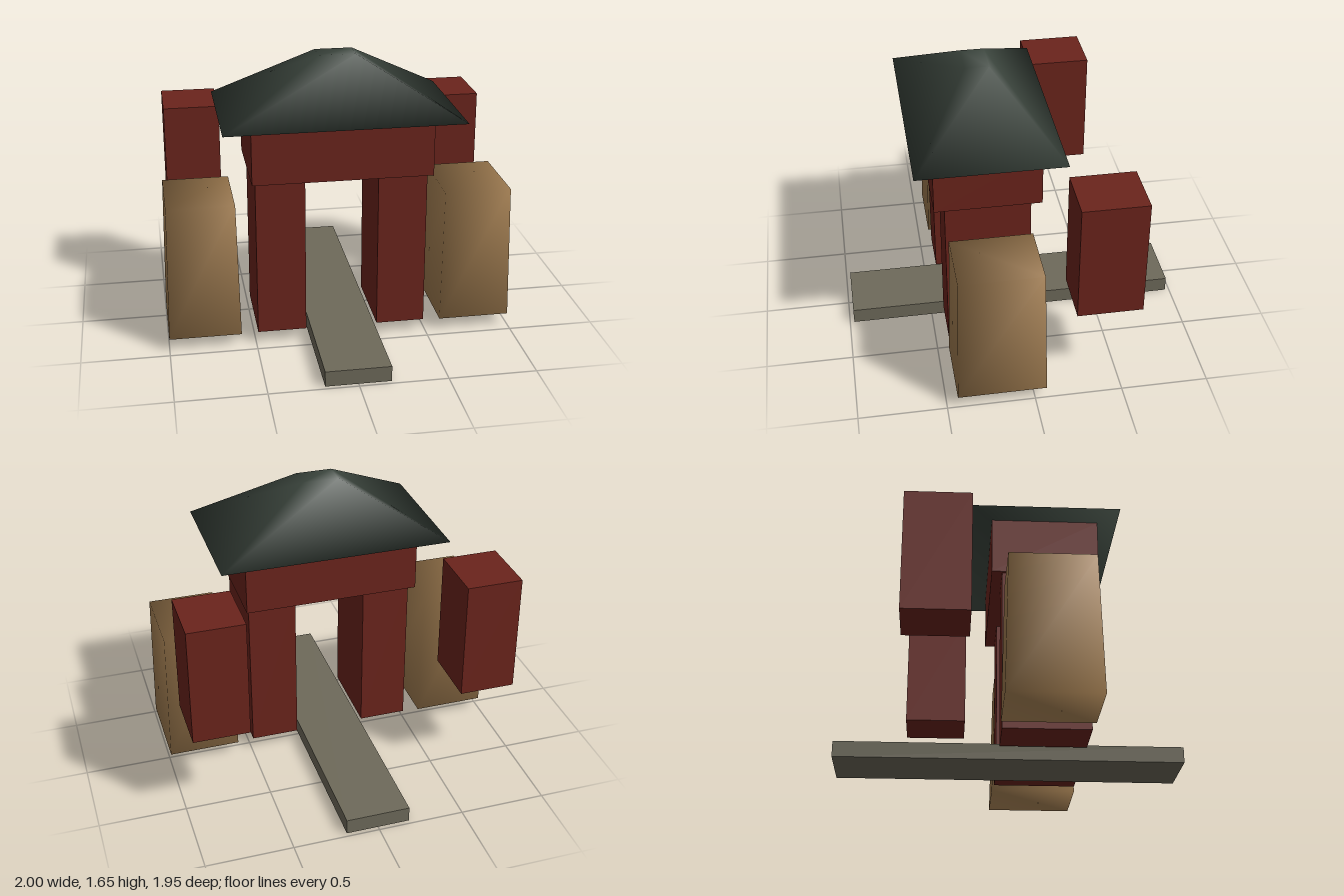
import * as THREE from 'three';
import { mergeVertices } from 'three/addons/utils/BufferGeometryUtils.js';

const mat = (color) => new THREE.MeshStandardMaterial({ color });

export function createModel() {
  const gate = new THREE.Group();
  gate.name = 'gatehouse';
  const red = mat(0x6b241c), tan = mat(0xa07c50), slate = mat(0x3c463e), stone = mat(0x6e6a5a);

  const add = (name, geometry, material, x, y, z) => {
    const mesh = new THREE.Mesh(geometry, material);
    mesh.name = name;
    mesh.position.set(x, y, z);
    gate.add(mesh);
  };

  // Block given by its centre in x and z and its bottom height
  const block = (name, material, w, h, d, x, y, z) =>
    add(name, new THREE.BoxGeometry(w, h, d), material, x, y + h / 2, z);

  // Tapered block with shared corners, so its shading is smooth
  const tapered = (name, material, w, h, d, topW, topD, x, y, z) => {
    let g = new THREE.BoxGeometry(w, h, d);
    const p = g.attributes.position;
    for (let i = 0; i < p.count; i++) {
      if (p.getY(i) > 0) {
        p.setX(i, Math.sign(p.getX(i)) * topW / 2);
        p.setZ(i, Math.sign(p.getZ(i)) * topD / 2);
      }
    }
    g.deleteAttribute('normal');
    g.deleteAttribute('uv');
    g = mergeVertices(g);
    g.computeVertexNormals();
    add(name, g, material, x, y + h / 2, z);
  };

  // Path, lintel and hipped roof on the centre line
  block('path', stone, 0.37, 0.09, 1.95, 0, 0, 0);
  block('lintel', red, 1.02, 0.33, 0.605, 0, 1, 0.187);
  tapered('roof', slate, 1.34, 0.325, 0.83, 0.21, 0.135, 0, 1.33, 0.187);

  // Pillars, rock towers and raised rear blocks on both sides
  for (const [side, s] of [['left', 1], ['right', -1]]) {
    block(side + 'Pillar', red, 0.28, 0.93, 0.485, s * 0.348, 0.07, 0.187);
    tapered(side + 'Tower', tan, 0.415, 0.79, 0.505, 0.385, 0.47, s * 0.792, 0.07, 0.187);
    block(side + 'RearBlock', red, 0.325, 0.7, 0.37, s * 0.79, 0.535, -0.42);
  }
  return gate;
}
